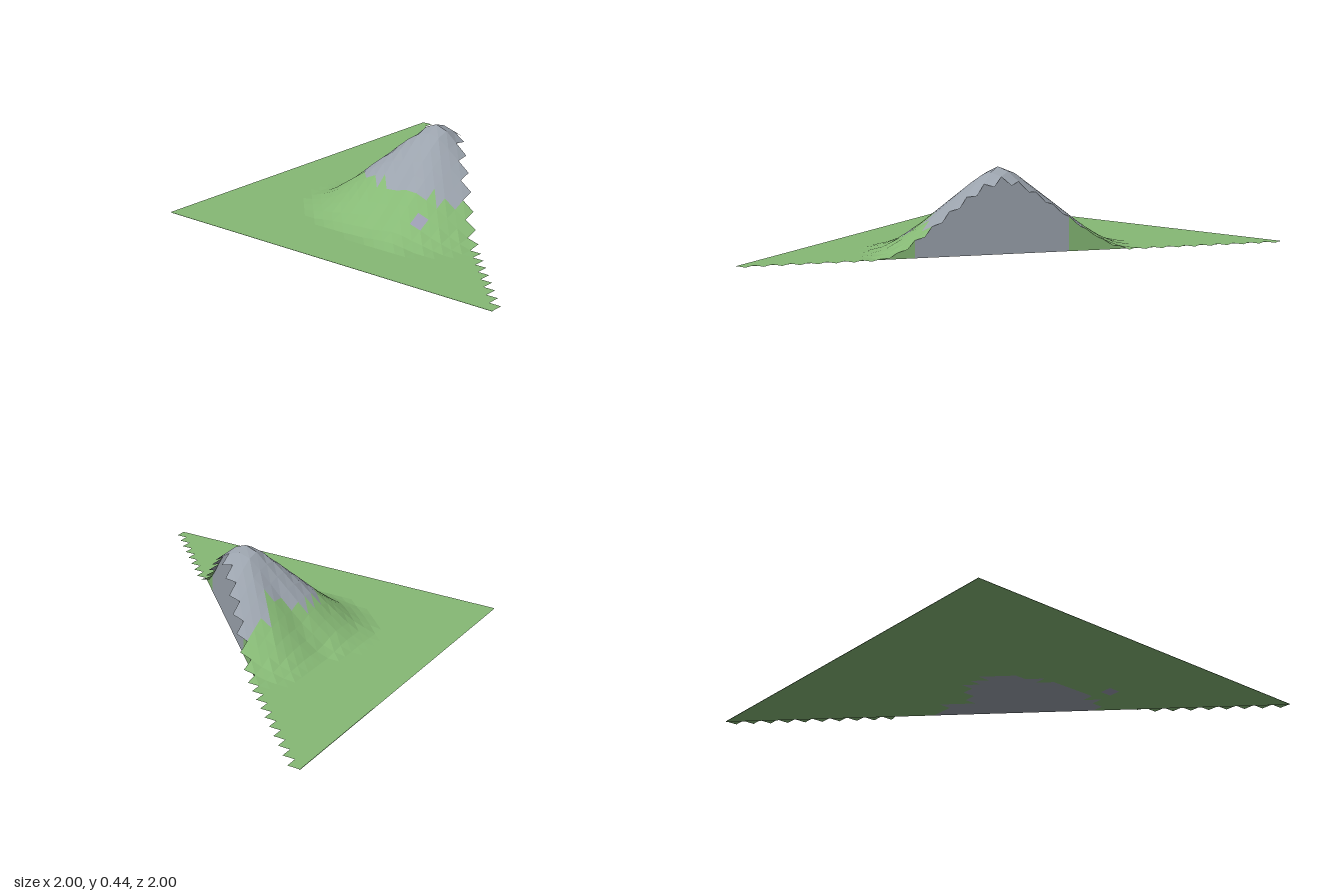
import * as THREE from 'three';

const N = 32, STEP = 2 / N;
const PEAK = { x: -0.12, z: 0 };

// [angle in degrees, radius] around the peak; 90 is the back, 180 the right side
const FOOT = [[38, 0.67], [52, 0.67], [78, 0.57], [97, 0.64], [115, 0.68], [138, 0.64], [165, 0.58],
  [180, 0.58], [198, 0.65], [220, 0.65], [233, 0.63], [398, 0.67]];
const ROCK = [[38, 0.42], [51, 0.35], [60, 0.25], [76, 0.27], [95, 0.34], [113, 0.38], [136, 0.33],
  [157, 0.31], [192, 0.3], [218, 0.36], [235, 0.39], [398, 0.42]];
// [fraction of foot radius, height]
const SLOPE = [[0, 0.44], [0.1, 0.415], [0.43, 0.24], [0.65, 0.122], [0.85, 0.034], [1, 0.003]];

function lookup(table, v) {
  for (let i = 1; i < table.length; i++) {
    const [a, p] = table[i - 1], [b, q] = table[i];
    if (v <= b) return p + (q - p) * Math.max(0, (v - a) / (b - a));
  }
  return table[table.length - 1][1];
}

function polar(x, z) {
  const dx = x - PEAK.x, dz = z - PEAK.z;
  let angle = THREE.MathUtils.radToDeg(Math.atan2(-dz, dx));
  if (angle < 38) angle += 360;
  return { r: Math.hypot(dx, dz), angle };
}

function height(x, z) {
  const { r, angle } = polar(x, z);
  return lookup(SLOPE, r / lookup(FOOT, angle));
}

function surfaceKind(x, z) {
  if (Math.hypot(x + 0.53, z - 0.225) < 0.04) return 'outcrop';
  const { r, angle } = polar(x, z);
  return r < lookup(ROCK, angle) ? 'rock' : 'grass';
}

export function createModel() {
  const group = new THREE.Group();
  const colors = { grass: 0x86b975, rock: 0x9ba3ad, outcrop: 0x9a9bb0 };
  const materials = {};
  for (const [name, color] of Object.entries(colors)) {
    materials[name] = new THREE.MeshStandardMaterial({ color, side: THREE.DoubleSide, flatShading: true });
    materials[name].name = name;
  }

  // Collects triangles per colour, then makes one mesh for each
  function buildPart(partName, fill) {
    const lists = { grass: [], rock: [], outcrop: [] };
    fill((kind, ...points) => points.forEach((p) => lists[kind].push(...p)));
    for (const [kind, list] of Object.entries(lists)) {
      if (!list.length) continue;
      const geometry = new THREE.BufferGeometry();
      geometry.setAttribute('position', new THREE.Float32BufferAttribute(list, 3));
      geometry.computeVertexNormals();
      const mesh = new THREE.Mesh(geometry, materials[kind]);
      mesh.name = kind + partName;
      group.add(mesh);
    }
  }

  const at = (i) => -1 + i * STEP;
  const top = (i, j) => [at(i), height(at(i), at(j)), at(j)];
  const floor = (i, j) => [at(i), 0, at(j)];
  const kindOf = (a, b, c) => surfaceKind((a[0] + b[0] + c[0]) / 3, (a[2] + b[2] + c[2]) / 3);

  // Terrain: square cells with a stepped edge along the cut
  buildPart('Terrain', (add) => {
    for (let j = 0; j < N; j++) for (let i = 0; i + j < N; i++) {
      const a = top(i, j), b = top(i, j + 1), c = top(i + 1, j + 1), d = top(i + 1, j);
      add(kindOf(a, b, d), a, b, d);
      add(kindOf(b, c, d), b, c, d);
    }
  });

  // Flat underside, ending on the straight diagonal
  buildPart('Underside', (add) => {
    for (let j = 0; j < N; j++) for (let i = 0; i + j < N; i++) {
      const a = floor(i, j), b = floor(i, j + 1), c = floor(i + 1, j + 1), d = floor(i + 1, j);
      add(kindOf(a, b, d), a, d, b);
      if (i + j < N - 1) add(kindOf(b, c, d), b, d, c);
    }
  });

  // Upright cut face along the diagonal
  buildPart('CutFace', (add) => {
    for (let i = 0; i < N; i++) {
      const mid = at(i + 0.5);
      const kind = mid > -0.35 && mid < 0.2 ? 'rock' : 'grass';
      const p = floor(i, N - i), q = floor(i + 1, N - i - 1);
      const r = top(i + 1, N - i - 1), s = top(i, N - i);
      add(kind, p, q, r);
      add(kind, p, r, s);
    }
  });

  return group;
}
